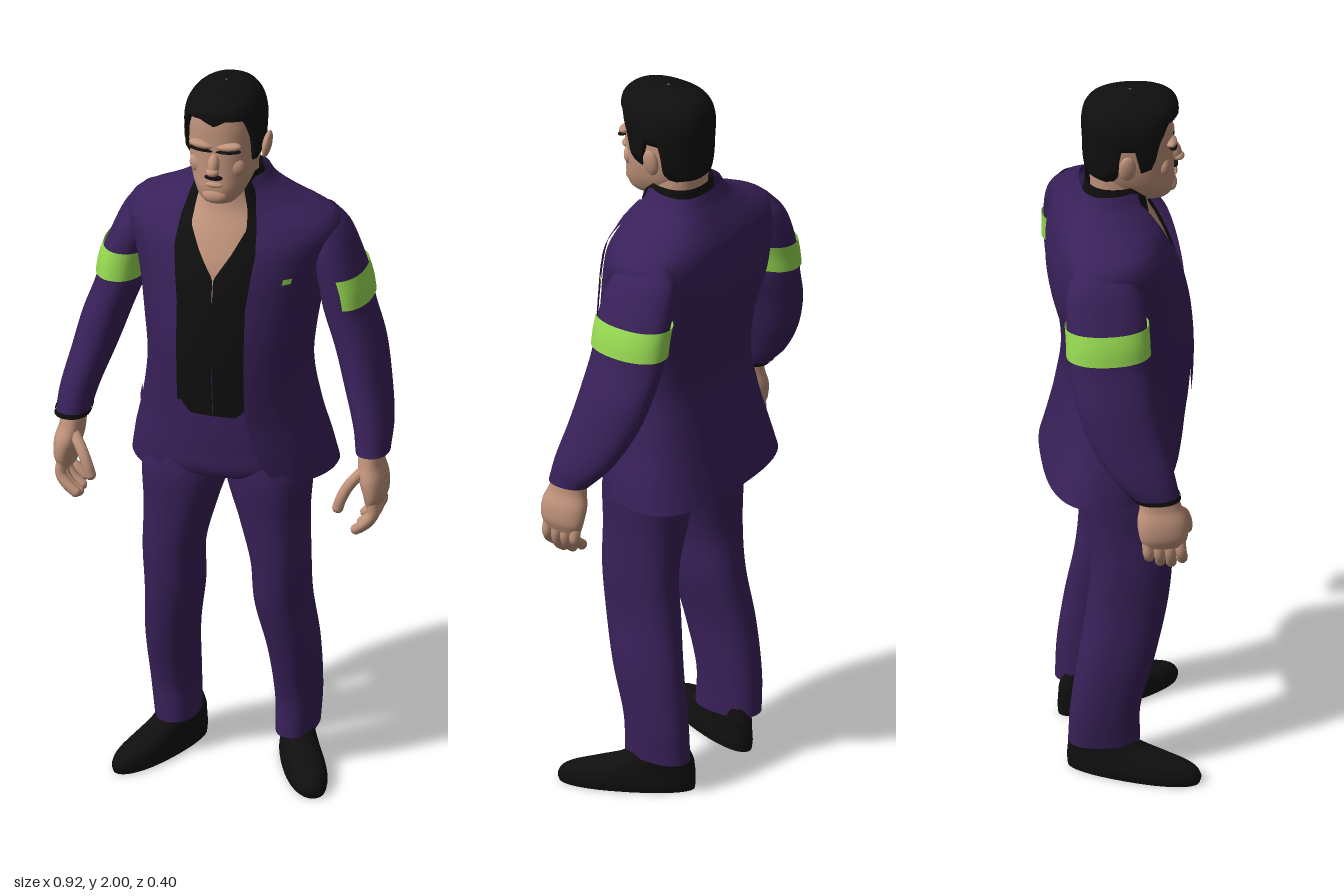
import * as THREE from 'three';
import { ParametricGeometry } from 'three/addons/geometries/ParametricGeometry.js';

const material = (name, color) => {
  const m = new THREE.MeshStandardMaterial({ color, side: THREE.DoubleSide });
  m.name = name;
  return m;
};

// Smooth interpolation of table rows [y, ...values] at height y
function at(rows, y) {
  const n = rows.length;
  let i = 0;
  while (i < n - 2 && y > rows[i + 1][0]) i++;
  const a = rows[i], b = rows[i + 1], p = rows[Math.max(i - 1, 0)], q = rows[Math.min(i + 2, n - 1)];
  const h = b[0] - a[0], t = THREE.MathUtils.clamp((y - a[0]) / h, 0, 1);
  const t2 = t * t, t3 = t2 * t;
  return a.map((v, k) => {
    const ma = (b[k] - p[k]) / (b[0] - p[0]) * h, mb = (q[k] - v) / (q[0] - a[0]) * h;
    return (2 * t3 - 3 * t2 + 1) * v + (t3 - 2 * t2 + t) * ma + (3 * t2 - 2 * t3) * b[k] + (t3 - t2) * mb;
  });
}
// Straight-line table lookup
function linear(table, x) {
  let i = 0;
  while (i < table.length - 2 && x > table[i + 1][0]) i++;
  const [a, b] = [table[i], table[i + 1]];
  return THREE.MathUtils.lerp(a[1], b[1], THREE.MathUtils.clamp((x - a[0]) / (b[0] - a[0]), 0, 1));
}
// Point on a body of rings [y, centreX, halfWidth, zFront, zBack]; angle 0 is the front, positive towards +x
function ringPoint(rows, y, a, { nf = 2.2, nb = 2.2, mid = 0.5, grow = 0 } = {}, out = new THREE.Vector3()) {
  const [, cx, rx, zf, zb] = at(rows, y);
  const s = Math.sin(a), c = Math.cos(a), n = c > 0 ? nf : nb;
  const r = 1 / Math.pow(Math.abs(s) ** n + Math.abs(c) ** n, 1 / n);
  const cz = zf + (zb - zf) * mid, rz = (c > 0 ? zf - cz : cz - zb) + grow;
  return out.set(cx + (rx + grow) * r * s, y, cz + rz * r * c);
}

const TABLE = {
  jacket: [[0.87, 0, 0.277, 0.165, -0.205], [0.95, 0, 0.262, 0.175, -0.185], [1.05, 0, 0.238, 0.185, -0.165],
    [1.18, 0, 0.22, 0.2, -0.148], [1.3, 0, 0.23, 0.2, -0.157], [1.42, 0, 0.25, 0.187, -0.185], [1.5, 0, 0.27, 0.17, -0.187],
    [1.56, 0, 0.288, 0.148, -0.178], [1.6, 0, 0.277, 0.125, -0.168], [1.625, 0, 0.235, 0.115, -0.157],
    [1.65, 0, 0.178, 0.106, -0.143], [1.69, 0, 0.118, 0.094, -0.12], [1.725, 0, 0.096, 0.076, -0.104]],
  shirt: [[1.07, 0, 0.19, 0.155, -0.12], [1.25, 0, 0.195, 0.17, -0.12], [1.42, 0, 0.205, 0.163, -0.14], [1.5, 0, 0.19, 0.148, -0.14],
    [1.58, 0, 0.17, 0.118, -0.13], [1.64, 0, 0.122, 0.095, -0.11], [1.69, 0, 0.095, 0.087, -0.093], [1.74, 0, 0.083, 0.07, -0.088]],
  chest: [[1.4, 0, 0.18, 0.153, -0.1], [1.5, 0, 0.17, 0.139, -0.1], [1.58, 0, 0.15, 0.108, -0.1], [1.64, 0, 0.105, 0.08, -0.085],
    [1.68, 0, 0.079, 0.073, -0.075], [1.77, 0, 0.073, 0.06, -0.078]],
  head: [[1.672, 0, 0.004, 0.08, 0.07], [1.679, 0, 0.034, 0.122, 0.04], [1.694, 0, 0.054, 0.14, 0.01], [1.725, 0, 0.072, 0.148, -0.04],
    [1.76, 0, 0.084, 0.146, -0.07], [1.81, 0, 0.092, 0.144, -0.085], [1.86, 0, 0.095, 0.143, -0.088], [1.91, 0, 0.094, 0.142, -0.088],
    [1.95, 0, 0.083, 0.135, -0.078], [1.975, 0, 0.06, 0.11, -0.055], [1.988, 0, 0.025, 0.065, -0.01]],
  hair: [[1.72, 0, 0.08, 0.155, -0.07], [1.78, 0, 0.097, 0.155, -0.092], [1.86, 0, 0.105, 0.154, -0.097], [1.92, 0, 0.105, 0.157, -0.098],
    [1.965, 0, 0.088, 0.152, -0.084], [1.988, 0, 0.055, 0.112, -0.05], [2, 0, 0.004, 0.034, 0.026]],
  arm: [[0.985, 0.412, 0.044, 0.118, 0], [1.05, 0.403, 0.05, 0.105, -0.06], [1.15, 0.375, 0.057, 0.08, -0.118],
    [1.25, 0.347, 0.062, 0.06, -0.15], [1.35, 0.312, 0.063, 0.048, -0.164], [1.42, 0.298, 0.064, 0.045, -0.166],
    [1.5, 0.272, 0.06, 0.04, -0.168], [1.56, 0.25, 0.054, 0.02, -0.158], [1.605, 0.23, 0.035, -0.01, -0.13]],
  leg: [[0.095, 0.172, 0.053, 0.04, -0.15], [0.2, 0.175, 0.058, 0.04, -0.145], [0.35, 0.17, 0.064, 0.078, -0.125],
    [0.5, 0.15, 0.072, 0.112, -0.1], [0.62, 0.146, 0.075, 0.125, -0.09], [0.75, 0.128, 0.091, 0.13, -0.1],
    [0.87, 0.113, 0.112, 0.135, -0.115], [0.94, 0.11, 0.1, 0.125, -0.11]],
  hips: [[0.862, 0, 0.11, 0.09, -0.07], [0.885, 0, 0.195, 0.135, -0.11], [0.96, 0, 0.21, 0.148, -0.12], [1.1, 0, 0.195, 0.153, -0.125]],
  shoe: [[0, 0, 0.052, 0.262, -0.098], [0.02, 0, 0.055, 0.266, -0.1], [0.045, 0, 0.051, 0.245, -0.1],
    [0.065, 0, 0.046, 0.18, -0.098], [0.085, 0, 0.043, 0.11, -0.095], [0.12, 0, 0.038, 0.06, -0.08]],
  sole: [[0, 0, 0.052, 0.262, -0.098], [0.001, 0, 0.002, 0.08, 0.076]],
  palm: [[0.845, 0.422, 0.022, 0.128, 0.02], [0.875, 0.425, 0.03, 0.138, 0.01], [0.92, 0.418, 0.036, 0.138, 0.005],
    [0.96, 0.41, 0.033, 0.122, 0.012], [1.02, 0.408, 0.034, 0.105, 0.01]],
};
const JACKET = { nf: 1.95, nb: 2.7, mid: 0.6 };
const SHIRT = { nf: 2.1, nb: 2.4 };
const JACKET_GAP = [[0.87, 0.19], [0.89, 0.158], [0.93, 0.13], [1.0, 0.108], [1.1, 0.092], [1.4, 0.094], [1.55, 0.112], [1.62, 0.105], [1.69, 0.088], [1.725, 0.07]];
const LAPEL_EDGE = [[1.12, 0.096], [1.3, 0.135], [1.5, 0.185], [1.515, 0.145], [1.54, 0.17], [1.62, 0.15], [1.69, 0.1]];
const SHIRT_GAP = [[1.47, 0.001], [1.54, 0.045], [1.6, 0.075], [1.65, 0.07], [1.74, 0.05]];
const HAIRLINE = [[0, 1.912], [0.35, 1.93], [0.8, 1.925], [1, 1.87], [1.12, 1.8], [1.42, 1.79], [1.5, 1.86], [1.85, 1.86], [1.95, 1.78], [2.3, 1.745], [Math.PI, 1.74]];

export function createModel() {
  const model = new THREE.Group();
  model.name = 'suitedMan';
  const purple = material('suitPurple', 0x39215a), green = material('bandGreen', 0x98dc52);
  const skin = material('skin', 0xc0937b), black = material('black', 0x0f0f10);

  const add = (name, geometry, mat, parent = model) => {
    const mesh = new THREE.Mesh(geometry, mat);
    mesh.name = name;
    parent.add(mesh);
    return mesh;
  };
  // Surface between heights y0..y1 and angles from(y)..to(y)
  const surface = (rows, opt, y0, y1, from, to, nu = 40, nv = 32) => new ParametricGeometry((u, v, p) => {
    const y = y0 + (y1 - y0) * v, a = from(y);
    ringPoint(rows, y, a + (to(y) - a) * u, opt, p);
  }, nu, nv);
  const loft = (rows, opt, nv = 32, nu = 40) =>
    surface(rows, opt, rows[0][0], rows.at(-1)[0], () => 0, () => Math.PI * 2, nu, nv);
  const flip = rows => rows.map(([y, x, ...rest]) => [y, -x, ...rest]);
  const angleOf = (rows, table) => y => Math.asin(Math.min(0.85, linear(table, y) / at(rows, y)[2]));

  // Jacket with an open front and rounded lower corners
  const gap = angleOf(TABLE.jacket, JACKET_GAP);
  add('jacket', surface(TABLE.jacket, JACKET, 0.87, 1.725, gap, y => Math.PI * 2 - gap(y), 64, 60), purple);
  const lapel = angleOf(TABLE.jacket, LAPEL_EDGE);
  for (const s of [1, -1]) {
    add('lapel', surface(TABLE.jacket, { ...JACKET, grow: 0.008 }, 1.12, 1.69, y => s * gap(y), y => s * lapel(y), 6, 48), purple);
    add('pocketFlap', surface(TABLE.jacket, { ...JACKET, grow: 0.005 }, 1.035, 1.075, () => s * 0.8, () => s * 1.35, 10, 2), purple);
  }
  add('pocketSquare', surface(TABLE.jacket, { ...JACKET, grow: 0.006 }, 1.463, 1.478, () => 0.62, () => 0.86, 8, 2), green);

  // Shirt, open at the neck
  const vee = angleOf(TABLE.shirt, SHIRT_GAP);
  add('shirt', surface(TABLE.shirt, SHIRT, 1.07, 1.74, vee, y => Math.PI * 2 - vee(y), 56, 56), black);
  add('neckAndChest', loft(TABLE.chest, SHIRT), skin);

  // Head and hair
  add('head', loft(TABLE.head, { nf: 2.3, nb: 2.2 }, 48, 48), skin);
  const scalp = new THREE.Vector3();
  add('hair', new ParametricGeometry((u, v, p) => {
    const a = u * Math.PI * 2, low = linear(HAIRLINE, Math.min(a, Math.PI * 2 - a));
    const y = low + (2 - low) * (1 - (1 - v) ** 2);
    ringPoint(TABLE.hair, y, a, { nf: 2.3, nb: 2.2 }, p);
    if (v < 0.05) p.lerp(ringPoint(TABLE.head, y, a, { nf: 2.3 }, scalp), 1 - v / 0.05);
  }, 120, 40), black);

  // Facial features
  const blob = (name, mat, pos, size, tilt = 0) => {
    const m = add(name, new THREE.SphereGeometry(1, 20, 14), mat);
    m.position.set(...pos);
    m.scale.set(...size);
    m.rotation.z = tilt;
    return m;
  };
  blob('nose', skin, [0, 1.803, 0.148], [0.016, 0.032, 0.018]).rotation.x = -0.25;
  blob('noseTip', skin, [0, 1.787, 0.158], [0.018, 0.012, 0.016]);
  blob('chin', skin, [0, 1.71, 0.137], [0.034, 0.022, 0.017]);
  blob('lips', skin, [0, 1.745, 0.147], [0.024, 0.008, 0.008]);
  blob('moustache', black, [0, 1.767, 0.148], [0.025, 0.008, 0.009]);
  for (const s of [1, -1]) {
    blob('browRidge', skin, [s * 0.036, 1.855, 0.133], [0.036, 0.012, 0.018], s * 0.1);
    blob('eyebrow', black, [s * 0.037, 1.843, 0.138], [0.036, 0.006, 0.013], s * 0.1);
    blob('cheek', skin, [s * 0.048, 1.79, 0.112], [0.028, 0.03, 0.02]);
    blob('ear', skin, [s * 0.107, 1.818, 0.012], [0.012, 0.04, 0.023], -s * 0.18);
  }

  // Arms, bands and hands
  for (const s of [1, -1]) {
    const rows = s > 0 ? TABLE.arm : flip(TABLE.arm);
    add(s > 0 ? 'leftSleeve' : 'rightSleeve', loft(rows, {}, 40), purple);
    const [from, to] = s > 0 ? [0.25, Math.PI + 0.8] : [0, Math.PI * 2];
    add('armBand', surface(rows, { grow: 0.006 }, 1.373, 1.455, () => from, () => to, 40, 6), green);
    if (s < 0) add('rightCuff', surface(rows, { grow: 0.003 }, 0.985, 0.998, () => 0, () => Math.PI * 2, 32, 2), black);

    const hand = new THREE.Group();
    hand.name = s > 0 ? 'leftHand' : 'rightHand';
    hand.scale.x = s;
    model.add(hand);
    add('palm', loft(TABLE.palm, {}, 20, 28), skin, hand);
    const digit = (name, points, r) => {
      const path = new THREE.CatmullRomCurve3(points.map(p => new THREE.Vector3(...p)));
      add(name, new THREE.TubeGeometry(path, 12, r, 10), skin, hand);
      add(name + 'Tip', new THREE.SphereGeometry(r, 10, 8), skin, hand).position.set(...points.at(-1));
    };
    for (let i = 0; i < 4; i++) {
      const z = 0.03 + i * 0.029, drop = [0.02, 0.005, 0, 0.01][i];
      digit('finger', [[0.424, 0.87, z], [0.428, 0.825, z + 0.003], [0.41, 0.79 + drop, z + 0.008], [0.385, 0.77 + drop, z + 0.01]], 0.0145);
    }
    digit('thumb', [[0.4, 0.945, 0.1], [0.365, 0.905, 0.132], [0.348, 0.87, 0.142], [0.34, 0.845, 0.143]], 0.0155);
  }

  // Trousers and shoes; the right foot stands slightly closer in
  add('trouserHips', loft(TABLE.hips, { nf: 2.4, nb: 2.4 }), purple);
  for (const s of [1, -1]) {
    const rows = s > 0 ? TABLE.leg
      : TABLE.leg.map(([y, x, rx, f, b]) => [y, -x + 0.02 * Math.max(0, 1 - y / 0.6), rx + 0.004, f, b]);
    add(s > 0 ? 'leftTrouserLeg' : 'rightTrouserLeg', loft(rows, { nf: 2.3, nb: 2.3 }, 44), purple);
    const shoe = new THREE.Group();
    shoe.name = s > 0 ? 'leftShoe' : 'rightShoe';
    shoe.position.set(s > 0 ? 0.17 : -0.152, 0, -0.055);
    shoe.rotation.y = s > 0 ? 0.46 : -0.4;
    model.add(shoe);
    add('shoeUpper', loft(TABLE.shoe, { mid: 0.45 }, 24), black, shoe);
    add('shoeSole', loft(TABLE.sole, { mid: 0.45 }, 1), black, shoe);
  }
  return model;
}
